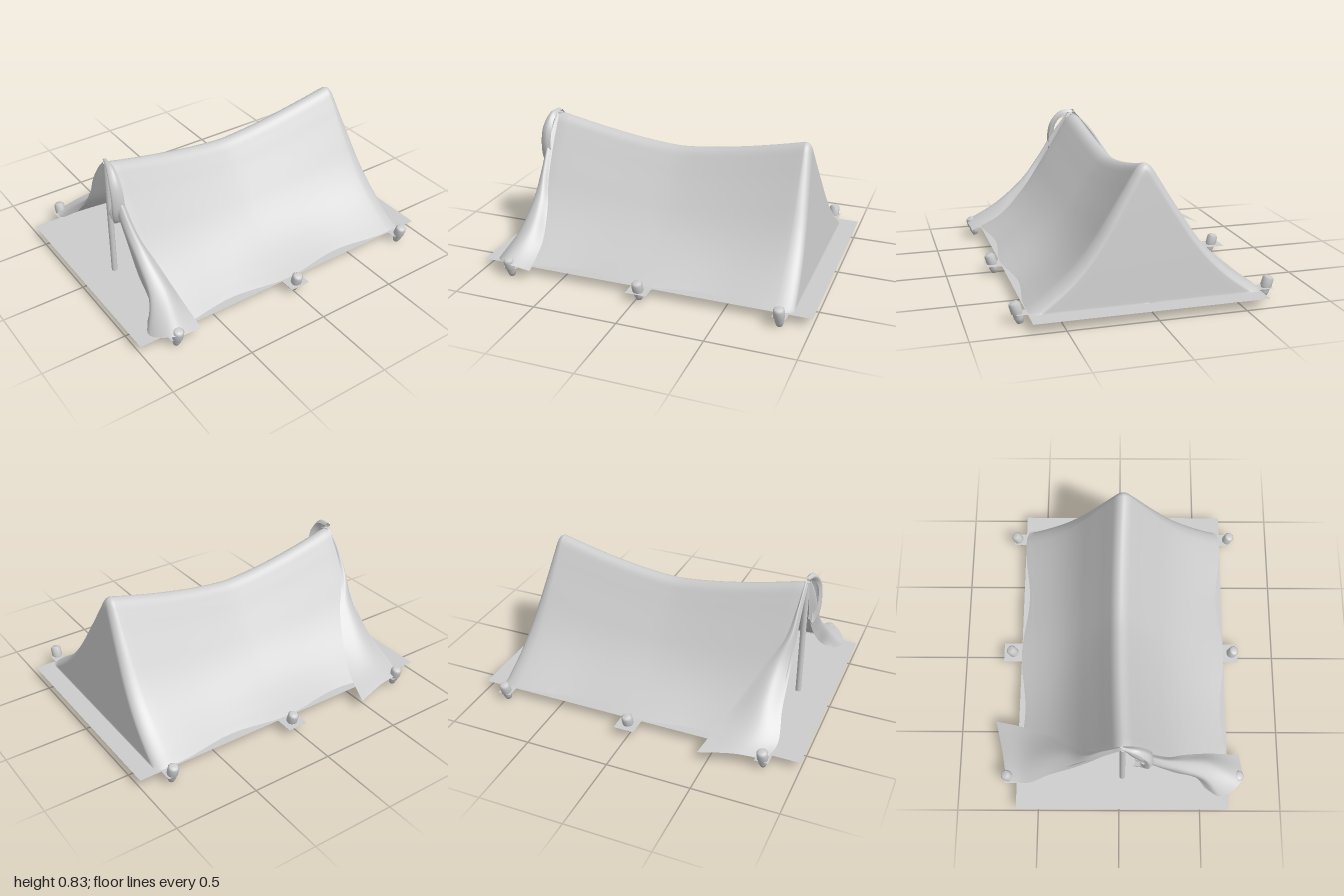
import * as THREE from 'three';

const material = new THREE.MeshStandardMaterial({ color: 0xcccccc, side: THREE.DoubleSide });
const V = (p) => new THREE.Vector3(...p);
const GROUND = 0.057;
const CENTRE_Z = 0.02;

function add(group, name, geometry, x = 0, y = 0, z = 0) {
  const mesh = new THREE.Mesh(geometry, material);
  mesh.name = name;
  mesh.position.set(x, y, z);
  group.add(mesh);
  return mesh;
}

// Thin cloth lying flat
const flatSheet = (width, depth) => new THREE.PlaneGeometry(width, depth).rotateX(-Math.PI / 2);

// Smooth surface from a function (i, j) -> Vector3
function gridSurface(nu, nv, fn) {
  const pos = [], index = [];
  for (let j = 0; j <= nv; j++) {
    for (let i = 0; i <= nu; i++) {
      pos.push(...fn(i, j).toArray());
      if (i < nu && j < nv) {
        const a = j * (nu + 1) + i, b = a + nu + 1;
        index.push(a, b, a + 1, a + 1, b, b + 1);
      }
    }
  }
  const g = new THREE.BufferGeometry();
  g.setAttribute('position', new THREE.Float32BufferAttribute(pos, 3));
  g.setIndex(index);
  g.computeVertexNormals();
  return g;
}

// Cloth lofted through rows of points, splined both ways
function loft(rows, nu, nv) {
  const sampled = rows.map((r) => new THREE.CatmullRomCurve3(r.map(V)).getPoints(nu));
  const columns = [];
  for (let i = 0; i <= nu; i++) {
    columns.push(new THREE.CatmullRomCurve3(sampled.map((r) => r[i])).getPoints(nv));
  }
  return gridSurface(nu, nv, (i, j) => columns[i][j]);
}

// Half of the concave tent section: half-width, height
const halfSection = [
  [0, 0.805], [0.035, 0.788], [0.075, 0.73], [0.13, 0.64], [0.2, 0.53], [0.285, 0.4],
  [0.37, 0.293], [0.465, 0.2], [0.57, 0.12], [0.655, 0.065],
];
const section = new THREE.CatmullRomCurve3([
  ...halfSection.slice(1).reverse().map(([w, y]) => V([-w, y, 0])),
  ...halfSection.map(([w, y]) => V([w, y, 0])),
]);

function canopy() {
  const N = 72, BODY = 40, ROUND = 10, CAP = 10;
  const pts = section.getPoints(N);
  return gridSurface(N, BODY + ROUND + CAP, (i, j) => {
    const p = pts[i];
    const rise = THREE.MathUtils.clamp((p.y - GROUND) / 0.75, 0, 1);
    const xEnd = 0.805 + 0.09 * (1 - rise);
    const radius = 0.04 + 0.07 * (1 - rise);
    let x = THREE.MathUtils.lerp(-0.8, xEnd - radius, Math.min(j / BODY, 1));
    const d = Math.min(Math.abs(x) / 0.77, 1);

    // sagging ridge, slack sides, and hem scalloped between the pegs
    const top = 0.675 + 0.128 * Math.pow(d, 1.5);
    let y = GROUND + (p.y - GROUND) * (top - GROUND) / 0.748;
    y -= 0.02 * (1 - d * d) * Math.sin(Math.PI * rise);
    const scallop = Math.sin(Math.PI * d) ** 2 * (1 - rise) ** 3;
    y += 0.008 * scallop;
    let w = p.x * (1 - 0.06 * scallop);

    // rounded corner turning into the closed end
    if (j > BODY) {
      const a = Math.min((j - BODY) / ROUND, 1) * Math.PI / 2;
      const q0 = pts[Math.max(i - 1, 0)], q1 = pts[Math.min(i + 1, N)];
      const t = q1.clone().sub(q0).normalize();
      const inset = 0.045 * (1 - Math.cos(a));
      x += radius * Math.sin(a);
      w = Math.sign(w) * Math.max(0, Math.abs(w) - inset * Math.abs(t.y));
      y = Math.max(GROUND, y - inset * Math.abs(t.x));
    }
    // flat closed end drawn in to its centre line
    if (j > BODY + ROUND) w *= 1 - (j - BODY - ROUND) / CAP;
    return new THREE.Vector3(x, y, CENTRE_Z - 0.02 * (1 - d * d) * rise + w);
  });
}

// Front door flap, folded onto the front slope and spreading at the foot
const frontFlapRows = [
  [[-0.805, 0.79, 0.03], [-0.81, 0.815, 0.04], [-0.8, 0.82, 0.05], [-0.785, 0.8, 0.06]],
  [[-0.8, 0.57, 0.1], [-0.825, 0.66, 0.13], [-0.81, 0.69, 0.15], [-0.78, 0.645, 0.16]],
  [[-0.8, 0.39, 0.21], [-0.825, 0.49, 0.25], [-0.8, 0.515, 0.27], [-0.76, 0.45, 0.285]],
  [[-0.81, 0.24, 0.34], [-0.82, 0.345, 0.38], [-0.775, 0.37, 0.39], [-0.715, 0.31, 0.4]],
  [[-0.82, 0.12, 0.48], [-0.84, 0.21, 0.52], [-0.76, 0.24, 0.545], [-0.675, 0.165, 0.555]],
  [[-0.87, 0.07, 0.53], [-0.92, 0.065, 0.63], [-0.83, 0.1, 0.755], [-0.66, 0.07, 0.75]],
];

// Loose cloth looped beside the pole: z, y and outer x along the loop, with a lip turned inward
const curlRows = [
  [0.02, 0.835, -0.805], [0.1, 0.825, -0.83], [0.165, 0.755, -0.85], [0.19, 0.65, -0.855],
  [0.18, 0.55, -0.85], [0.14, 0.48, -0.825], [0.09, 0.52, -0.83],
].map(([z, y, x]) => [
  [-0.785, y - 0.015, z], [(x - 0.785) / 2, y, z + 0.004], [x, y - 0.01, z - 0.015],
  [x + 0.015, y + (0.66 - y) * 0.3, z + (0.1 - z) * 0.5],
]);

// Back door flap, thrown open over the back slope
const backFlapRows = [
  [[-0.805, 0.81, 0.02], [-0.795, 0.82, 0.01], [-0.785, 0.81, 0.0]],
  [[-0.805, 0.66, -0.09], [-0.79, 0.705, -0.1], [-0.775, 0.675, -0.11]],
  [[-0.805, 0.51, -0.17], [-0.785, 0.57, -0.19], [-0.745, 0.535, -0.2]],
  [[-0.81, 0.36, -0.28], [-0.74, 0.42, -0.29], [-0.66, 0.39, -0.3]],
  [[-0.82, 0.22, -0.42], [-0.72, 0.27, -0.44], [-0.57, 0.225, -0.46]],
  [[-0.85, 0.1, -0.58], [-0.71, 0.145, -0.59], [-0.5, 0.13, -0.61]],
  [[-0.82, 0.07, -0.7], [-0.65, 0.08, -0.73], [-0.45, 0.065, -0.78]],
];

export function createModel() {
  const tent = new THREE.Group();
  tent.name = 'tent';

  add(tent, 'groundSheet', flatSheet(2, 1.31), 0, 0.055, 0.02);
  add(tent, 'canopy', canopy());
  add(tent, 'frontFlap', loft(frontFlapRows, 20, 48));
  add(tent, 'flapCurl', loft(curlRows, 12, 36));
  add(tent, 'backFlap', loft(backFlapRows, 16, 40));
  add(tent, 'pole', new THREE.CylinderGeometry(0.017, 0.017, 0.75, 16), -0.795, 0.43, 0.02);

  // Pegs lean outward; a cloth tab lies under each
  const pegProfile = [[0, 0], [0.018, 0], [0.026, 0.03], [0.026, 0.056], [0.032, 0.06], [0.032, 0.108], [0.022, 0.12], [0, 0.12]]
    .map(([r, y]) => new THREE.Vector2(r, y));
  const pegGeometry = new THREE.LatheGeometry(pegProfile, 12);
  for (const side of [1, -1]) {
    const label = side > 0 ? 'front' : 'back';
    for (const x of [-0.8, 0.015, 0.83]) {
      const peg = add(tent, label + 'Peg', pegGeometry, x, 0.005, CENTRE_Z + side * 0.69);
      peg.rotation.x = side * 0.28;
      const middle = x === 0.015;
      const width = middle ? 0.125 : 0.08;
      const reach = middle ? 0.12 : 0.085;
      add(tent, label + 'Tab', flatSheet(width, reach + 0.02),
        x, 0.058, 0.01 + side * (0.63 + reach / 2));
    }
  }
  return tent;
}
